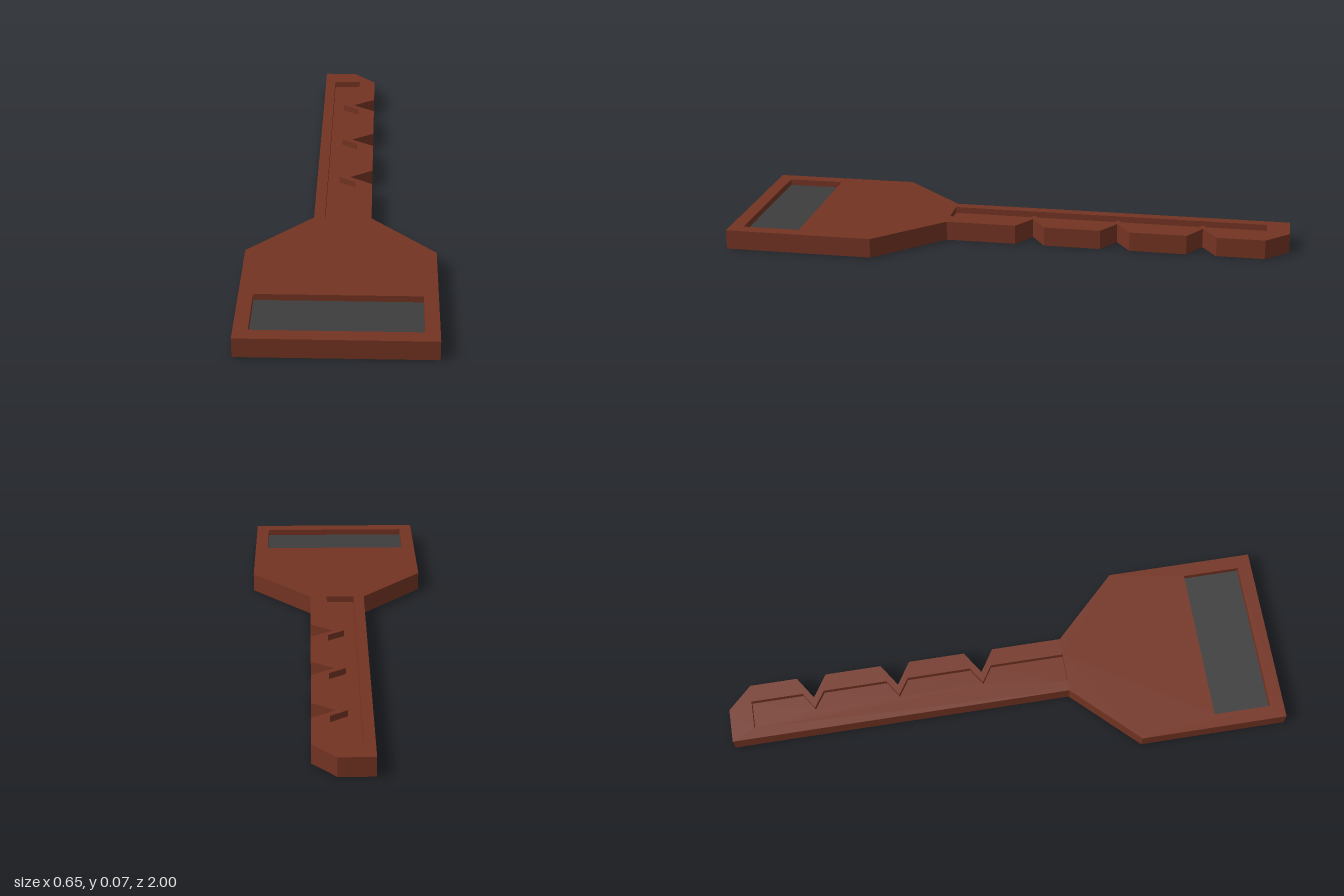
import * as THREE from 'three';

const HEIGHT = 0.07;
const FLOOR = 0.023; // depth of the recesses on both faces
const NOTCHES = [-0.07, -0.38, -0.69]; // z of each notch tip

// Points are written as [x, z] in plan
const toVectors = (points) => points.map(([x, z]) => new THREE.Vector2(x, -z));

// Flat slab standing between two heights
function slab(name, shape, bottom, top, material) {
  const geometry = new THREE.ExtrudeGeometry(shape, { depth: top - bottom, bevelEnabled: false });
  geometry.rotateX(-Math.PI / 2);
  geometry.translate(0, bottom, 0);
  const mesh = new THREE.Mesh(geometry, material);
  mesh.name = name;
  return mesh;
}

// V-shaped notches along an edge at x = edge, reaching in to x = tip
const notches = (edge, tip, half) =>
  NOTCHES.flatMap((z) => [[edge, z + half], [tip, z], [edge, z - half]]);

export function createModel() {
  const copper = new THREE.MeshStandardMaterial({ color: 0x733322 });
  copper.name = 'reddish brown';
  const grey = new THREE.MeshStandardMaterial({ color: 0x3d3d3d });
  grey.name = 'dark grey';

  // Outline of the handle and the toothed blade
  const outline = toVectors([
    [-0.327, 1], [0.327, 1], [0.327, 0.467], [0.102, 0.237],
    ...notches(0.102, 0.02, 0.053),
    [0.102, -0.915], [0.02, -1], [-0.102, -1], [-0.102, 0.237], [-0.327, 0.467],
  ]);

  // Blade groove, stepping round every notch
  const groove = toVectors([
    [-0.063, 0.237], [0.04, 0.237],
    ...notches(0.04, -0.02, 0.039),
    [0.04, -0.917], [-0.063, -0.917],
  ]);

  // Rectangular window in the handle
  const panel = toVectors([[-0.278, 0.95], [0.278, 0.95], [0.278, 0.743], [-0.278, 0.743]]);

  const body = new THREE.Shape(outline);
  body.holes.push(new THREE.Path(groove), new THREE.Path(panel));

  const key = new THREE.Group();
  key.name = 'key';
  key.add(
    slab('keyBody', body, 0, HEIGHT, copper),
    slab('grooveFloor', new THREE.Shape(groove), FLOOR, HEIGHT - FLOOR, copper),
    slab('handlePanel', new THREE.Shape(panel), FLOOR, HEIGHT - FLOOR, grey),
  );
  return key;
}
